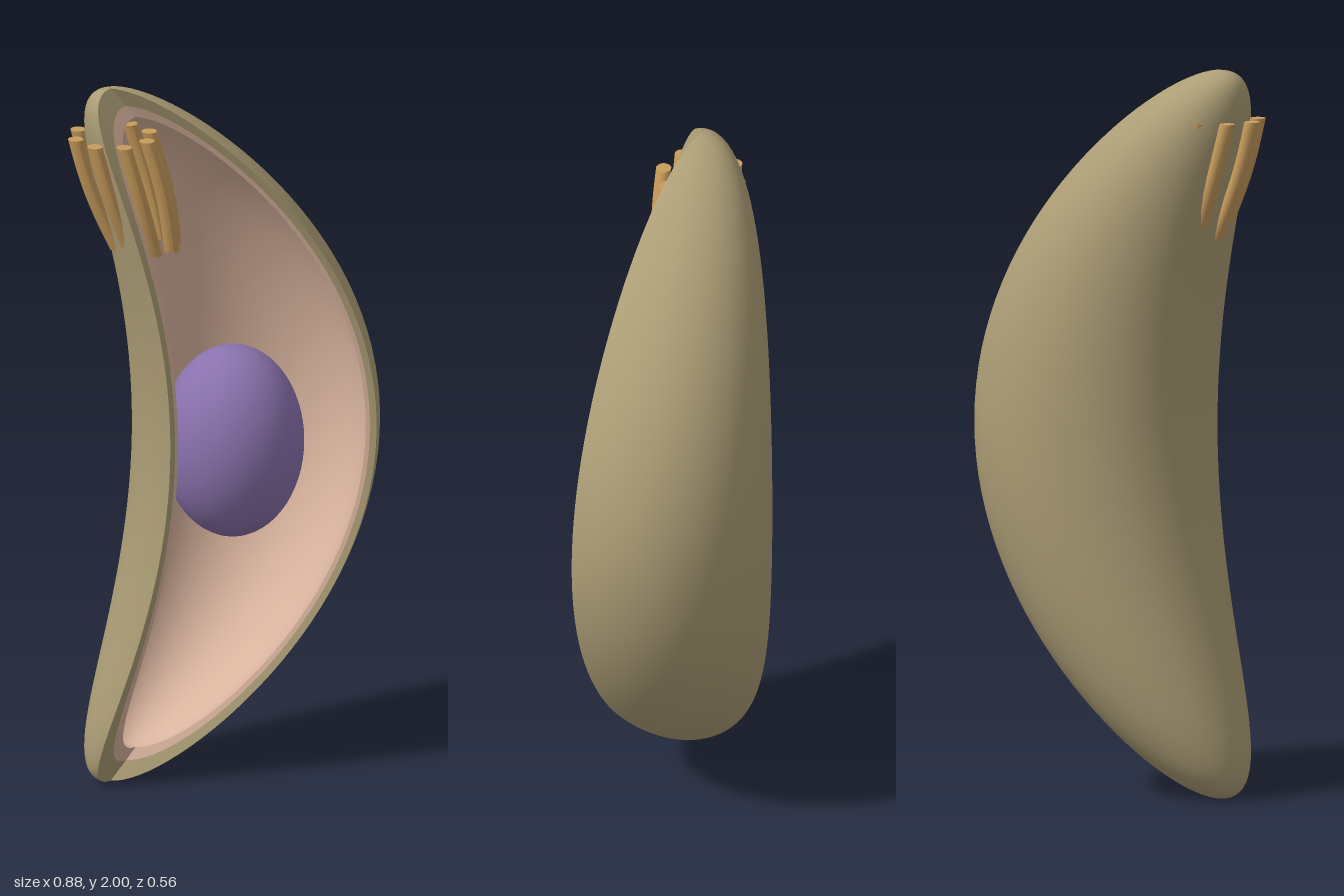
import * as THREE from 'three';

const mat = (name, color) => {
  const m = new THREE.MeshStandardMaterial({ color });
  m.name = name;
  return m;
};

const CUT = Math.PI / 6; // the front opening spans CUT .. PI - CUT

// Point on a bent ellipsoid: s = layer scale, a = angle around, lat = latitude
function shellPoint(s, a, lat) {
  const t = s * Math.sin(lat), r = s * Math.cos(lat);
  return [
    0.095 - 0.415 * t * t + 0.34 * r * Math.cos(a),
    1 + t,
    0.03 + 0.31 * r * Math.sin(a),
  ];
}

// Bend a plane grid onto f(u, v), with u and v in 0..1
function surface(f, nu, nv) {
  const g = new THREE.PlaneGeometry(1, 1, nu, nv);
  const p = g.attributes.position;
  for (let i = 0; i < p.count; i++) p.setXYZ(i, ...f(p.getX(i) + 0.5, p.getY(i) + 0.5));
  g.computeVertexNormals();
  return g;
}

const latOf = (v) => (v - 0.5) * Math.PI;

// Open wall of one layer, facing outwards or inwards
function wall(s, outward) {
  const a0 = Math.PI - CUT, a1 = 2 * Math.PI + CUT;
  return surface((u, v) => {
    const k = outward ? 1 - u : u;
    return shellPoint(s, a0 + (a1 - a0) * k, latOf(v));
  }, 64, 64);
}

// Cut edge between two layers, on the left or right of the opening
function rim(sIn, sOut, left) {
  return surface((u, v) => {
    const k = left ? u : 1 - u;
    return shellPoint(sIn + (sOut - sIn) * k, left ? CUT : Math.PI - CUT, latOf(v));
  }, 1, 64);
}

export function createModel() {
  const model = new THREE.Group();
  model.name = 'crescentCell';
  const olive = mat('olive shell', 0xac9d75);
  const pink = mat('pink lining', 0xd9b49e);
  const purple = mat('purple nucleus', 0x8a72ad);
  const tan = mat('tan rods', 0xc89c5c);
  olive.side = pink.side = THREE.DoubleSide;

  const add = (name, geometry, material, parent = model) => {
    const m = new THREE.Mesh(geometry, material);
    m.name = name;
    parent.add(m);
    return m;
  };

  // Shell and lining
  const OUT = 1, MID = 0.945, INNER = 0.91;
  add('outerShell', wall(OUT, true), olive);
  add('innerLining', wall(INNER, false), pink);
  for (const left of [true, false]) {
    const side = left ? 'left' : 'right';
    add(side + 'ShellRim', rim(MID, OUT, left), olive);
    add(side + 'LiningRim', rim(INNER, MID, left), pink);
  }

  // Nucleus
  const nucleus = add('nucleus', new THREE.SphereGeometry(1, 48, 32), purple);
  nucleus.scale.set(0.195, 0.27, 0.195);
  nucleus.position.set(0.012, 0.965, 0.08);

  // Ring of eight slightly bowed rods near the upper tip
  const rods = new THREE.Group();
  rods.name = 'rodBundle';
  model.add(rods);
  for (let i = 0; i < 8; i++) {
    const a = (i * Math.PI) / 4;
    const g = new THREE.CylinderGeometry(0.021, 0.021, 0.33, 16, 10);
    const p = g.attributes.position;
    for (let j = 0; j < p.count; j++) {
      const k = p.getY(j) / 0.33 + 0.5;
      const ring = 0.08 + 0.025 * k + 0.012 * Math.sin(Math.PI * k);
      p.setXYZ(j,
        p.getX(j) - 0.22 - 0.095 * k + ring * Math.cos(a),
        p.getY(j) + 1.7,
        p.getZ(j) + 0.03 + ring * Math.sin(a));
    }
    g.computeVertexNormals();
    add('rod' + (i + 1), g, tan, rods);
  }
  return model;
}
